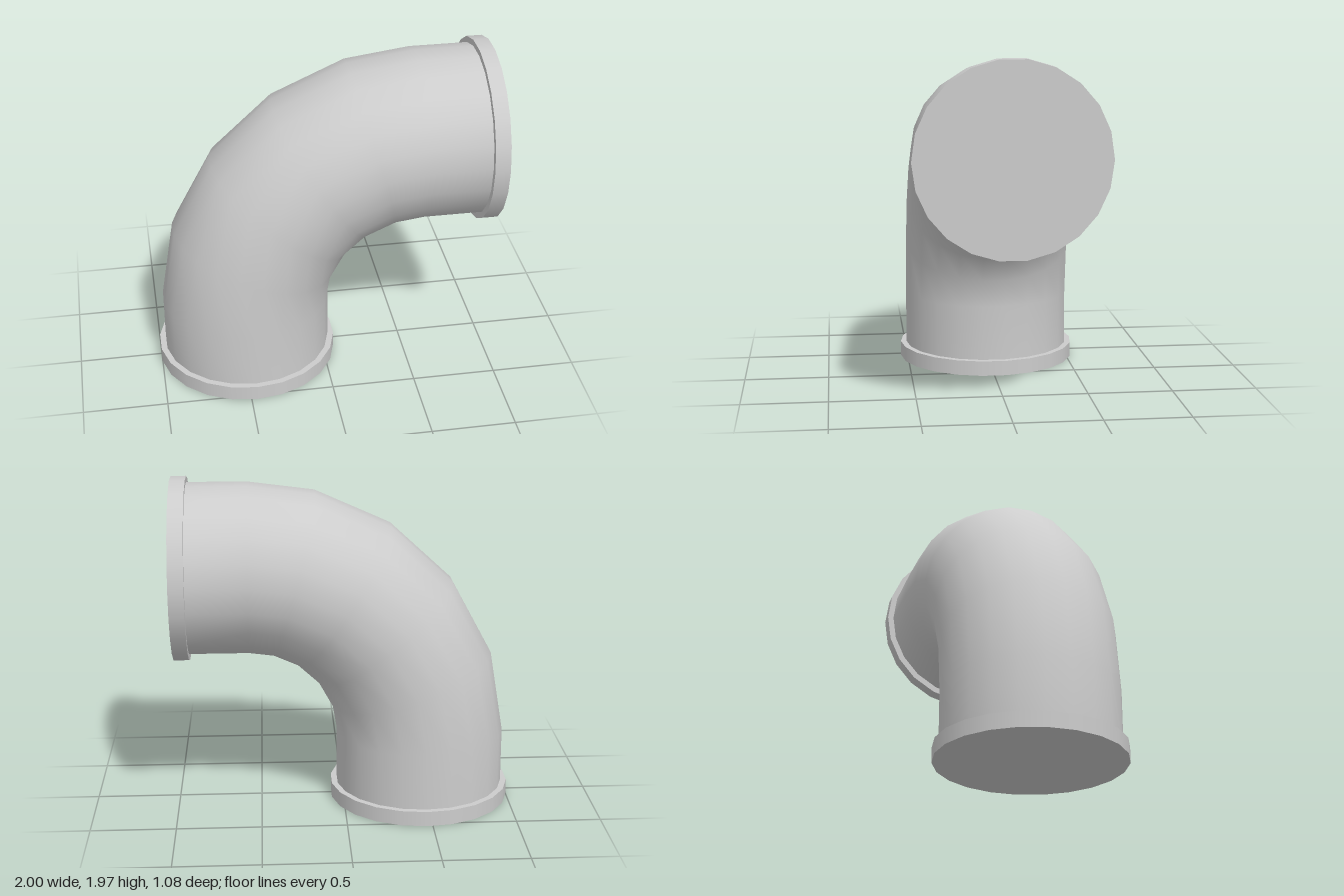
import * as THREE from 'three';

const SIDES = 22;
const PIPE_R = 0.506, FLANGE_R = 0.542, FLANGE_T = 0.09;
const AXIS_X = -0.465, AXIS_Y = 1.4375;   // centre lines of the two openings
const BEND = { x: 0.56, y: 0.42 };        // pivot of the elbow

// Sweep a ring along straight - bend - straight
function elbowGeometry() {
  const stations = [{ x: AXIS_X, y: 0.04, a: 0 }];
  for (const deg of [0, 18.8, 37.7, 56.5, 75, 90]) {
    const a = THREE.MathUtils.degToRad(deg);
    stations.push({
      x: BEND.x - (BEND.x - AXIS_X) * Math.cos(a),
      y: BEND.y + (AXIS_Y - BEND.y) * Math.sin(a),
      a,
    });
  }
  stations.push({ x: 0.96, y: AXIS_Y, a: Math.PI / 2 });

  const positions = [], index = [];
  stations.forEach(({ x, y, a }, i) => {
    for (let j = 0; j < SIDES; j++) {
      const phi = ((j + 0.5) / SIDES) * Math.PI * 2;
      const out = PIPE_R * Math.cos(phi);
      positions.push(x - out * Math.cos(a), y + out * Math.sin(a), PIPE_R * Math.sin(phi));
      if (i === stations.length - 1) continue;
      const k = (j + 1) % SIDES, p = i * SIDES, q = p + SIDES;
      index.push(p + j, p + k, q + j, p + k, q + k, q + j);
    }
  });
  const geometry = new THREE.BufferGeometry();
  geometry.setAttribute('position', new THREE.Float32BufferAttribute(positions, 3));
  geometry.setIndex(index);
  geometry.computeVertexNormals();
  return geometry;
}

export function createModel() {
  const model = new THREE.Group();
  model.name = 'pipeElbow';
  const grey = new THREE.MeshStandardMaterial({ color: 0xcccccc });
  grey.name = 'pipeGrey';

  const add = (name, geometry) => {
    const mesh = new THREE.Mesh(geometry, grey);
    mesh.name = name;
    model.add(mesh);
    return mesh;
  };

  add('elbowPipe', elbowGeometry());

  // Closed collars at both ends
  const flange = new THREE.CylinderGeometry(FLANGE_R, FLANGE_R, FLANGE_T, SIDES);
  add('bottomFlange', flange).position.set(AXIS_X, FLANGE_T / 2, 0);
  const side = add('sideFlange', flange);
  side.rotation.z = -Math.PI / 2;
  side.position.set(1 - FLANGE_T / 2, AXIS_Y, 0);

  return model;
}
